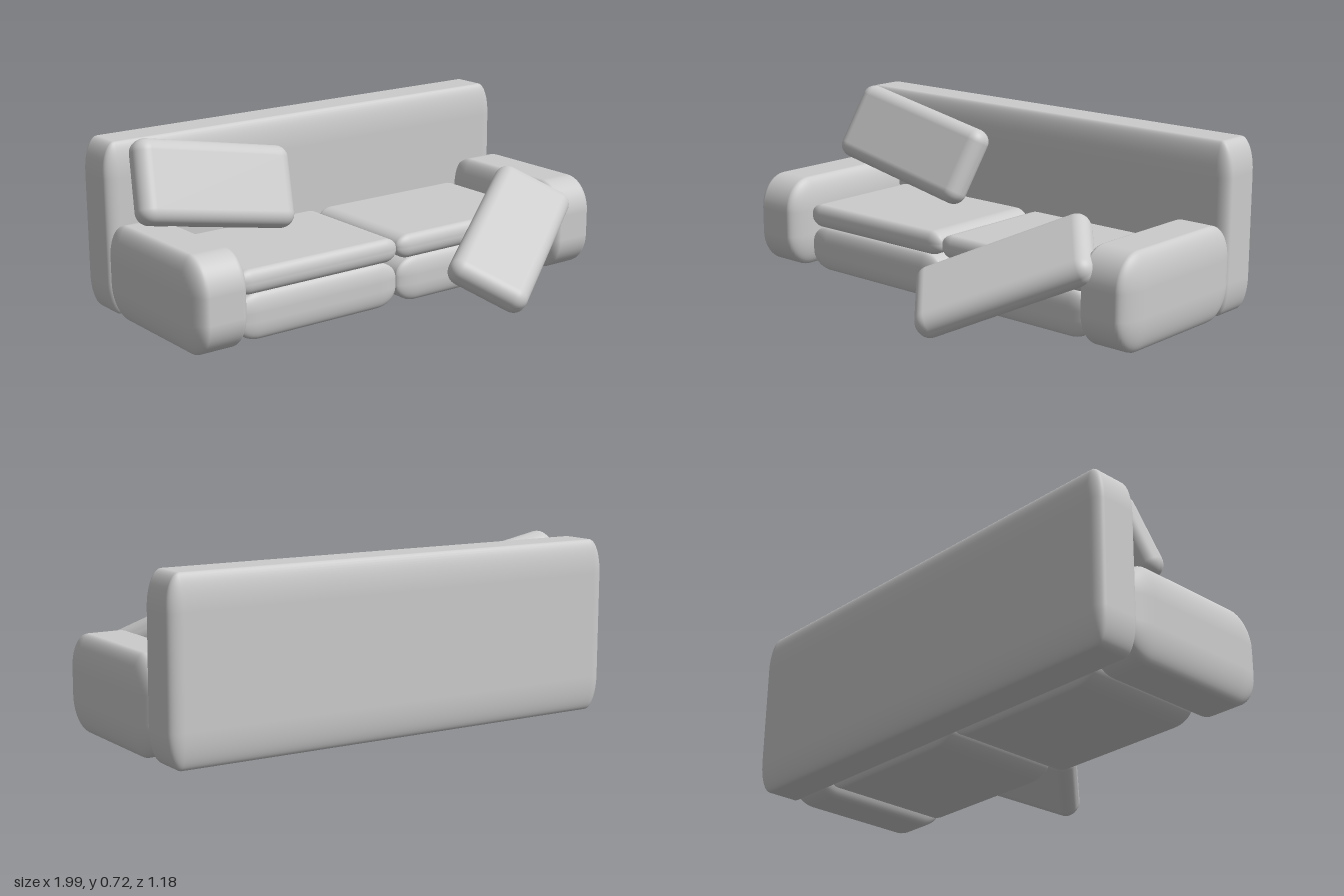
import * as THREE from 'three';
import { RoundedBoxGeometry } from 'three/addons/geometries/RoundedBoxGeometry.js';

const material = new THREE.MeshStandardMaterial({ color: 0xcccccc });

// Rounded block whose edge radius differs along x, y and z
function softBlock(name, size, radii, position) {
  const [w, h, d] = size, [rx, ry, rz] = radii;
  const geometry = new RoundedBoxGeometry(w / rx, h / ry, d / rz, 6, 1);
  geometry.scale(rx, ry, rz);
  const mesh = new THREE.Mesh(geometry, material);
  mesh.name = name;
  mesh.position.set(...position);
  return mesh;
}

function pillow(name, position) {
  return softBlock(name, [0.72, 0.34, 0.12], [0.055, 0.055, 0.055], position);
}

export function createModel() {
  const sofa = new THREE.Group();
  sofa.name = 'sofa';

  // Tall back
  sofa.add(softBlock('backrest', [1.97, 0.7, 0.2], [0.055, 0.14, 0.035], [-0.005, 0.353, -0.49]));

  // Mirrored arms and stacked seat cushions
  for (const [side, s] of [['left', 1], ['right', -1]]) {
    sofa.add(softBlock(side + 'Arm', [0.24, 0.385, 0.7], [0.05, 0.14, 0.12], [s * 0.875, 0.198, -0.09]));
    sofa.add(softBlock(side + 'SeatBase', [0.76, 0.187, 0.57], [0.1, 0.075, 0.03], [s * 0.38, 0.096, -0.115]));
    sofa.add(softBlock(side + 'SeatCushion', [0.76, 0.098, 0.57], [0.06, 0.045, 0.03], [s * 0.38, 0.236, -0.115]));
  }

  // Pillow leaning on the backrest
  const leaning = pillow('leaningPillow', [-0.575, 0.503, -0.285]);
  leaning.rotation.set(-0.43, 0, -0.19, 'ZYX');
  sofa.add(leaning);

  // Pillow sliding off the front of the seat
  const fallen = pillow('fallenPillow', [0.465, 0.237, 0.31]);
  const along = new THREE.Vector3(0.8, 0.39, -0.46).normalize();
  const normal = along.clone().cross(new THREE.Vector3(-0.61, 0.43, -0.67)).normalize();
  const across = normal.clone().cross(along);
  fallen.quaternion.setFromRotationMatrix(new THREE.Matrix4().makeBasis(along, across, normal));
  sofa.add(fallen);

  return sofa;
}
